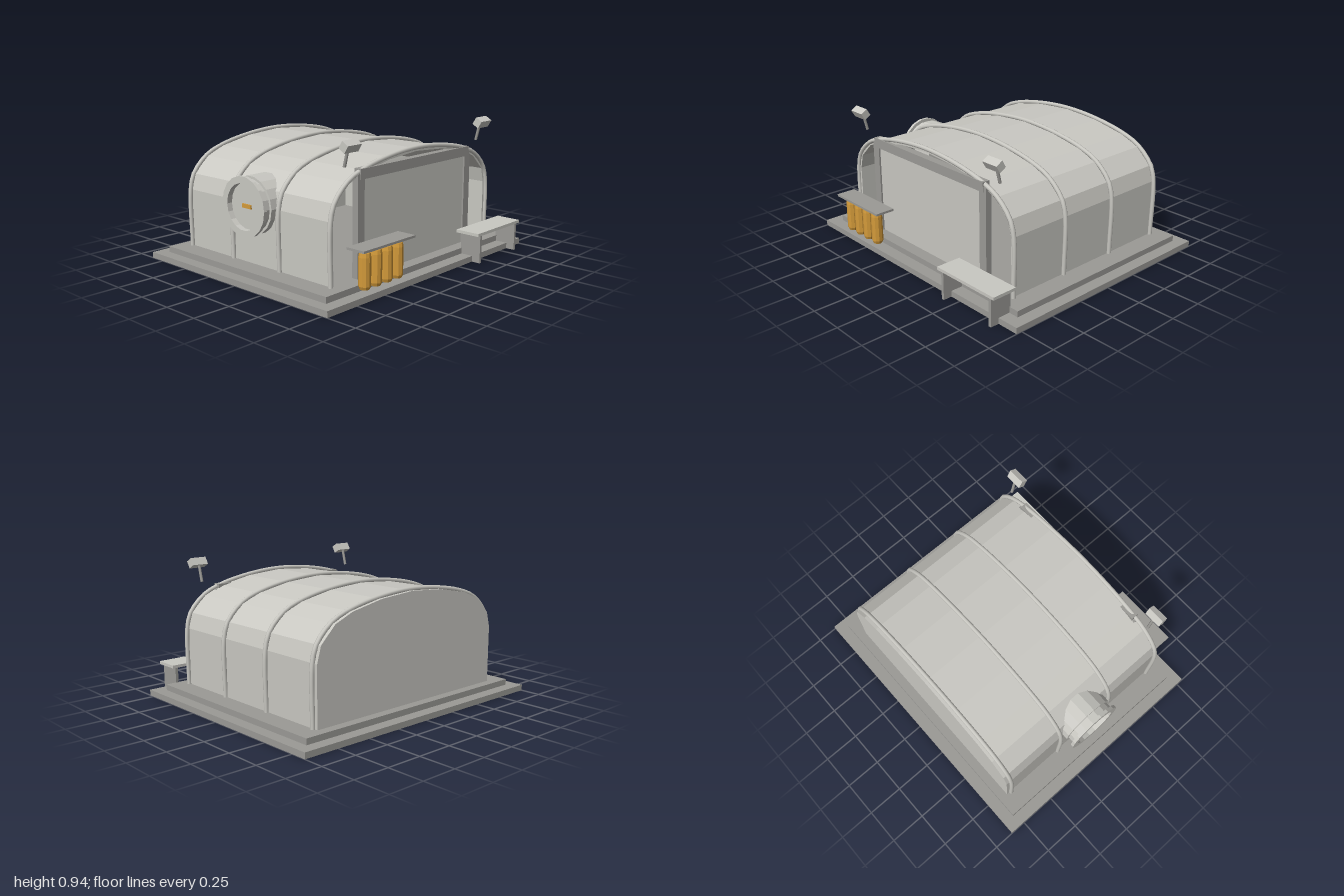
import * as THREE from 'three';

const mat = (name, color) => {
  const m = new THREE.MeshStandardMaterial({ color });
  m.name = name;
  return m;
};

// Faceted copy of a geometry
const flat = (g) => {
  const f = g.index ? g.toNonIndexed() : g;
  f.computeVertexNormals();
  return f;
};

export function createModel() {
  const root = new THREE.Group();
  const light = mat('lightGrey', 0xc9c8c2);
  const mid = mat('concreteGrey', 0x9b9a96);
  const orange = mat('orange', 0xd39a3a);

  const add = (name, geo, material, parent = root) => {
    const m = new THREE.Mesh(geo, material);
    m.name = name;
    parent.add(m);
    return m;
  };
  // Box given by its extents
  const box = (name, x0, x1, y0, y1, z0, z1, material, parent) => {
    const m = add(name, new THREE.BoxGeometry(x1 - x0, y1 - y0, z1 - z0), material, parent);
    m.position.set((x0 + x1) / 2, (y0 + y1) / 2, (z0 + z1) / 2);
    return m;
  };

  // Stepped foundation
  box('lowerSlab', -1, 1, 0, 0.04, -0.86, 0.79, mid);
  box('upperSlab', -0.92, 0.92, 0.04, 0.08, -0.78, 0.705, mid);

  // Half profile of the vault, from the ground to the crown
  const half = [[0.785, 0.08], [0.785, 0.47], [0.755, 0.575], [0.645, 0.683], [0.51, 0.738], [0.27, 0.785], [0, 0.804]];
  const arch = (grow) => {
    const right = half.map(([x, y], i) => {
      const up = Math.max(0, (y - 0.47) / 0.334);
      return new THREE.Vector2(x + (x ? grow * (1 - up * 0.6) : 0), i ? y + grow * up : y);
    });
    const left = right.slice(0, -1).reverse().map((p) => new THREE.Vector2(-p.x, p.y));
    return [...right, ...left];
  };
  const extrude = (points, depth, z) => {
    const g = new THREE.ExtrudeGeometry(new THREE.Shape(points), { depth, bevelEnabled: false });
    return g.translate(0, 0, z);
  };

  // Vaulted shell, open at the front, closed by a back wall
  add('shell', extrude([...arch(0), ...arch(-0.018).reverse()], 1.325, -0.71), light);
  add('backWall', extrude(arch(0), 0.015, -0.718), light);

  // Arched ribs
  const ribPath = new THREE.CatmullRomCurve3(
    arch(0.007).map((p) => new THREE.Vector3(p.x, p.y, 0)), false, 'centripetal');
  const ribGeo = new THREE.TubeGeometry(ribPath, 48, 0.015, 8);
  for (const z of [0.617, 0.183, -0.25, -0.685]) add('rib', ribGeo, light).position.z = z;

  // Door with frame
  const door = new THREE.Group();
  door.name = 'door';
  root.add(door);
  box('doorPanel', -0.52, 0.52, 0.08, 0.7, 0.6, 0.62, light, door);
  box('doorLintel', -0.553, 0.547, 0.688, 0.752, 0.585, 0.637, mid, door);
  for (const x of [-0.543, 0.538]) box('doorPost', x - 0.03, x + 0.03, 0.08, 0.72, 0.588, 0.632, mid, door);

  // Round side hatch through the right wall
  const hatch = new THREE.Group();
  hatch.name = 'sideHatch';
  hatch.position.set(0, 0.472, -0.035);
  root.add(hatch);
  const tube = [[0, 0.59], [0.188, 0.59], [0.188, 0.822], [0.172, 0.822], [0.172, 0.866], [0.195, 0.866],
    [0.195, 0.888], [0.15, 0.888], [0.15, 0.85], [0, 0.85]].map(([r, h]) => new THREE.Vector2(r, h));
  add('hatchTube', flat(new THREE.LatheGeometry(tube, 18)), light, hatch).rotation.z = Math.PI / 2;
  box('hatchHandle', -0.86, -0.851, -0.013, 0.013, -0.04, 0.04, orange, hatch);

  // Floodlights on leaning posts
  for (const side of [-1, 1]) {
    const lamp = new THREE.Group();
    lamp.name = 'floodlight';
    lamp.position.x = side * 0.667;
    root.add(lamp);
    const post = add('lampPost', new THREE.CylinderGeometry(0.01, 0.01, 0.118, 8), mid, lamp);
    post.position.set(0, 0.835, 0.625);
    post.rotation.x = 0.25;
    const head = add('lampHead', new THREE.BoxGeometry(0.12, 0.054, 0.052), light, lamp);
    head.position.set(0, 0.905, 0.657);
    head.rotation.x = 0.54;
  }

  // Bench
  const bench = new THREE.Group();
  bench.name = 'bench';
  root.add(bench);
  box('benchTop', 0.37, 0.878, 0.19, 0.21, 0.68, 0.855, light, bench);
  for (const x of [0.412, 0.839]) box('benchLeg', x - 0.01, x + 0.01, 0, 0.19, 0.697, 0.85, mid, bench);

  // Row of canisters under a shelf
  box('canisterShelf', -0.747, -0.28, 0.32, 0.335, 0.7, 0.835, mid);
  const can = [[0, 0.08], [0.03, 0.08], [0.038, 0.1], [0.038, 0.275], [0.034, 0.3], [0.024, 0.315], [0, 0.317]]
    .map(([r, y]) => new THREE.Vector2(r, y));
  const canGeo = flat(new THREE.LatheGeometry(can, 10));
  for (let i = 0; i < 4; i++) add('canister', canGeo, orange).position.set(-0.67 + i * 0.098, 0, 0.773);

  return root;
}
